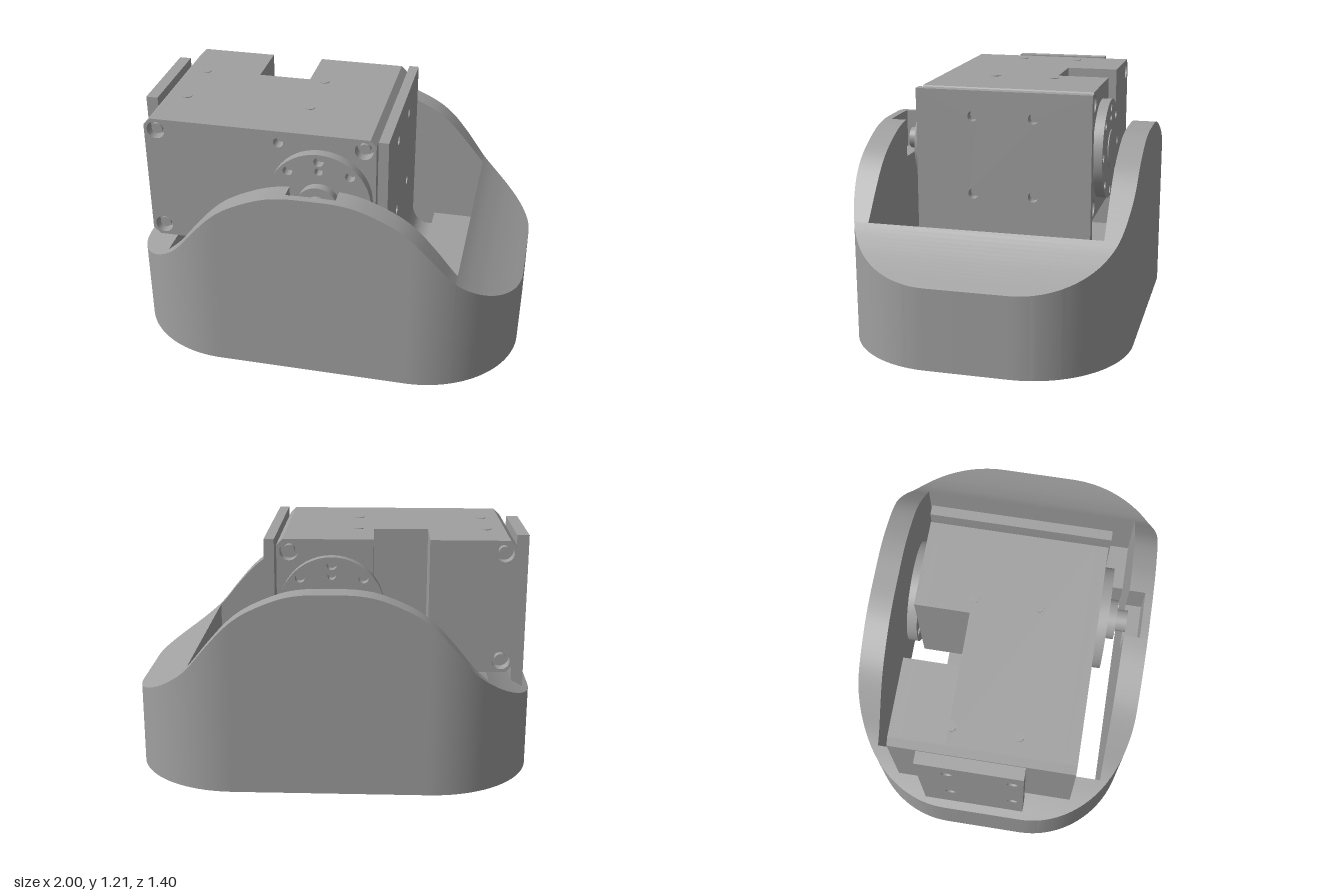
import * as THREE from 'three';
import { toCreasedNormals } from 'three/addons/utils/BufferGeometryUtils.js';

const grey = new THREE.MeshStandardMaterial({ color: 0xa0a0a0 });
grey.name = 'machined grey';

// Height of the base rim along x
const rim = new THREE.SplineCurve([
  [0, 1], [0.13, 0.997], [0.25, 0.973], [0.4, 0.908], [0.5, 0.835], [0.6, 0.725],
  [0.7, 0.605], [0.8, 0.525], [0.9, 0.463], [1, 0.41],
].map(([x, y]) => new THREE.Vector2(x, y))).getPoints(120);
function rimHeight(x) {
  const a = Math.abs(x);
  const i = Math.max(1, rim.findIndex((p) => p.x >= a - 1e-6));
  const p = rim[i - 1], q = rim[i];
  return p.y + (q.y - p.y) * (a - p.x) / (q.x - p.x);
}

// Half width of the rounded base along x
function halfWidth(x) {
  const t = Math.max(0, (Math.abs(x) - 0.48) / 0.52);
  return 0.2 + 0.5 * Math.sqrt(Math.max(0, 1 - t * t));
}

// Solid lofted along x from rectangular sections, topped by the rim curve
function loft(x0, x1, zMin, zMax, n = 28) {
  const pos = [], idx = [];
  for (let i = 0; i <= n; i++) {
    const x = x0 + (x1 - x0) * i / n, a = zMin(x), b = zMax(x), h = rimHeight(x);
    pos.push(x, 0, a, x, 0, b, x, h, b, x, h, a);
    if (i === n) break;
    for (let k = 0; k < 4; k++) {
      const p = i * 4 + k, q = i * 4 + (k + 1) % 4;
      idx.push(p, p + 4, q + 4, p, q + 4, q);
    }
  }
  const e = n * 4;
  idx.push(0, 1, 2, 0, 2, 3, e, e + 3, e + 2, e, e + 2, e + 1);
  const g = new THREE.BufferGeometry();
  g.setAttribute('position', new THREE.Float32BufferAttribute(pos, 3));
  g.setIndex(idx);
  return toCreasedNormals(g, 0.5);
}

// Flat shape with round holes [x, y, radius], extruded by depth
function plate(points, holes, depth) {
  const s = new THREE.Shape(points.map(([x, y]) => new THREE.Vector2(x, y)));
  for (const [x, y, r] of holes) {
    s.holes.push(new THREE.Path().absarc(x, y, r, 0, Math.PI * 2, true));
  }
  return new THREE.ExtrudeGeometry(s, { depth, bevelEnabled: false, curveSegments: 16 });
}

const rect = (x0, y0, x1, y1) => [[x0, y0], [x1, y0], [x1, y1], [x0, y1]];

// Rectangle with chamfered left and/or right corners
function chamfered(x0, y0, x1, y1, left, right) {
  return [
    [x0 + left, y0], [x1 - right, y0], [x1, y0 + right], [x1, y1 - right],
    [x1 - right, y1], [x0 + left, y1], [x0, y1 - left], [x0, y0 + left],
  ].filter((p, i, all) => {
    const q = all[(i + 1) % 8];
    return p[0] !== q[0] || p[1] !== q[1];
  });
}

export function createModel() {
  const model = new THREE.Group();
  const add = (parent, name, geometry, x = 0, y = 0, z = 0) => {
    const m = new THREE.Mesh(geometry, grey);
    m.name = name;
    m.position.set(x, y, z);
    parent.add(m);
    return m;
  };
  const group = (name) => {
    const g = new THREE.Group();
    g.name = name;
    model.add(g);
    return g;
  };

  // Base: solid ends, side walls and a recess behind the shaft
  const base = group('base');
  const neg = (x) => -halfWidth(x);
  // Close spacing where the rounded plan turns quickly
  for (const [a, b, n] of [[0.7, 0.94, 12], [0.94, 0.99, 8], [0.99, 1, 8]]) {
    add(base, 'rightEnd', loft(a, b, neg, halfWidth, n));
    const start = a === 0.7 ? 0.76 : a;
    add(base, 'leftEnd', loft(-b, -start, neg, halfWidth, n));
  }
  add(base, 'backWall', loft(-0.76, 0.7, neg, () => -0.58, 60));
  add(base, 'frontWallLeft', loft(-0.76, -0.12, () => 0.58, halfWidth));
  add(base, 'frontWallMiddle', loft(-0.12, 0.12, () => 0.66, halfWidth, 10));
  add(base, 'frontWallRight', loft(0.12, 0.7, () => 0.58, halfWidth));
  add(base, 'shaftSeat', new THREE.BoxGeometry(0.24, 0.8, 0.08), 0, 0.4, 0.62);

  // Floor with side slots, pockets, a centre bore and a bolt circle
  const half = [[-0.76, 0.46], [-0.38, 0.46], [-0.38, 0.34], [0, 0.34], [0.1, 0.46], [0.44, 0.46], [0.44, 0.58], [0.7, 0.58]];
  const outline = [...half.map(([x, z]) => [x, -z]), ...half.slice().reverse()];
  const bores = [[0, 0, 0.09]];
  for (let i = 0; i < 8; i++) {
    const a = i * Math.PI / 4;
    bores.push([0.21 * Math.cos(a), 0.21 * Math.sin(a), 0.022]);
  }
  add(base, 'floor', plate(outline, bores, 0.23).rotateX(Math.PI / 2), 0, 0.23, 0);

  // Bracket: two upright plates with screw holes
  const bracket = group('bracket');
  const screws = [];
  for (const z of [-0.155, 0.155]) for (const y of [0.68, 1.08]) screws.push([z, y, 0.026]);
  add(bracket, 'rightPlate', plate(rect(-0.45, 0.2, 0.45, 1.21), screws, 0.05).rotateY(Math.PI / 2), 0.28, 0, 0);
  add(bracket, 'leftPlate', plate(rect(-0.21, 0.38, 0.3, 1.21), screws, 0.06).rotateY(Math.PI / 2), -0.96, 0, 0);
  const fillet = new THREE.Shape();
  fillet.moveTo(0.33, 0.22);
  fillet.lineTo(0.44, 0.22);
  fillet.absarc(0.44, 0.34, 0.11, -Math.PI / 2, -Math.PI, true);
  add(bracket, 'plateFillet', new THREE.ExtrudeGeometry(fillet, { depth: 0.9, bevelEnabled: false }), 0, 0, -0.45);

  // Motor body in layers along z, notched at the back
  const motor = group('motor');
  const corners = [[-0.83, 1.15, 0.045], [-0.83, 0.61, 0.045], [0.21, 1.15, 0.045], [0.21, 0.61, 0.045]];
  const full = chamfered(-0.89, 0.55, 0.27, 1.21, 0.035, 0.03);
  add(motor, 'frontCover', plate(full, [...corners, [-0.21, 1.15, 0.025]], 0.06), 0, 0, 0.38);
  add(motor, 'body', plate(full, [], 0.55), 0, 0, -0.17);
  const backLeft = chamfered(-0.89, 0.55, -0.47, 1.21, 0.035, 0);
  const backRight = chamfered(-0.2, 0.55, 0.27, 1.21, 0, 0.03);
  add(motor, 'backBodyLeft', plate(backLeft, [], 0.21), 0, 0, -0.38);
  add(motor, 'backBodyRight', plate(backRight, [], 0.21), 0, 0, -0.38);
  add(motor, 'backCoverLeft', plate(backLeft, corners.slice(0, 2), 0.06), 0, 0, -0.44);
  add(motor, 'backCoverRight', plate(backRight, corners.slice(2), 0.06), 0, 0, -0.44);

  // Screw heads in the corner recesses and on the top
  for (const [x, y] of corners) {
    for (const z of [-0.395, 0.395]) {
      add(motor, 'cornerScrew', new THREE.CylinderGeometry(0.027, 0.027, 0.05, 16).rotateX(Math.PI / 2), x, y, z);
    }
  }
  for (const x of [-0.76, -0.12]) {
    for (const z of [-0.16, 0.155]) {
      add(motor, 'topScrew', new THREE.CylinderGeometry(0.026, 0.026, 0.005, 16), x, 1.211, z);
    }
  }

  // Round horns with hole circles, front boss and shaft
  const hornHoles = [[0, 0.165, 0.02]];
  const ring = [];
  for (let i = 0; i < 8; i++) {
    const a = i * Math.PI / 4;
    hornHoles.push([0.217 * Math.cos(a), 0.217 * Math.sin(a), 0.024]);
  }
  for (let i = 0; i < 48; i++) {
    const a = i * Math.PI / 24;
    ring.push([0.256 * Math.cos(a), 0.256 * Math.sin(a)]);
  }
  const horn = toCreasedNormals(plate(ring, hornHoles, 0.05), 0.5);
  add(motor, 'frontHorn', horn, 0, 0.877, 0.44);
  add(motor, 'backHorn', horn, 0, 0.877, -0.49);
  const disc = (name, r, z0, z1, sides) => add(motor, name,
    new THREE.CylinderGeometry(r, r, z1 - z0, sides).rotateX(Math.PI / 2), 0, 0.877, (z0 + z1) / 2);
  disc('boss', 0.1, 0.48, 0.535, 32);
  disc('shaft', 0.055, 0.53, 0.59, 24);
  disc('backBoss', 0.1, -0.495, -0.48, 32);

  return model;
}
